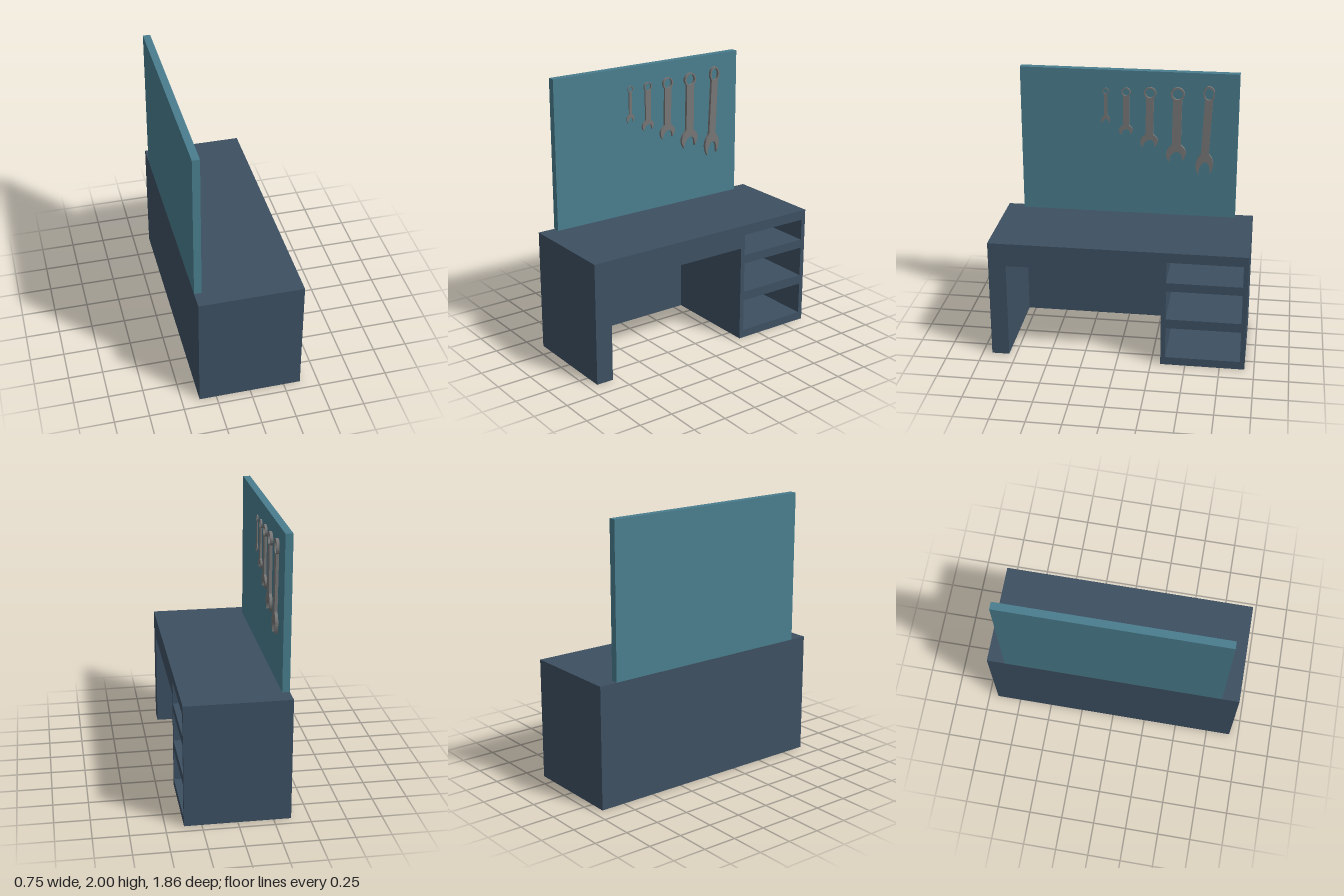
import * as THREE from 'three';

const material = (color) => new THREE.MeshStandardMaterial({ color, flatShading: true });
const deskMat = material(0x3d5062);
const boardMat = material(0x4a7e8f);
const steelMat = material(0x777777);

// Profiles are drawn facing +x: u runs towards -z, v is up.
function extrudeAlongX(name, shape, x, depth, mat) {
  const geo = new THREE.ExtrudeGeometry(shape, { depth, bevelEnabled: false, curveSegments: 10 });
  geo.rotateY(Math.PI / 2);
  geo.translate(x, 0, 0);
  const mesh = new THREE.Mesh(geo, mat);
  mesh.name = name;
  return mesh;
}

function rectHole(u0, u1, v0, v1) {
  return new THREE.Path([[u0, v0], [u0, v1], [u1, v1], [u1, v0]].map((p) => new THREE.Vector2(...p)));
}

function box(name, x0, x1, y0, y1, z0, z1, mat) {
  const mesh = new THREE.Mesh(new THREE.BoxGeometry(x1 - x0, y1 - y0, z1 - z0), mat);
  mesh.position.set((x0 + x1) / 2, (y0 + y1) / 2, (z0 + z1) / 2);
  mesh.name = name;
  return mesh;
}

// Combination wrench: ring end above, shaft, open jaw below.
function wrenchShape({ u, v, rx, ry, shaft, jawU, jawTop, bottom, w }) {
  const h = jawTop - bottom;
  const P = (a, b) => [jawU + a * w, jawTop + b * h];
  const a = Math.asin(shaft / rx);
  const s = new THREE.Shape();
  s.absellipse(u, v, rx, ry, -Math.PI / 2 + a, 1.5 * Math.PI - a, false, 0);
  s.lineTo(jawU - shaft, jawTop);
  s.quadraticCurveTo(...P(-0.55, -0.1), ...P(-0.8, -0.22));
  s.quadraticCurveTo(...P(-1.3, -0.58), ...P(-0.72, -1));
  s.quadraticCurveTo(...P(-0.72, -0.72), ...P(-0.42, -0.55));
  s.quadraticCurveTo(...P(0, -0.28), ...P(0.42, -0.48));
  s.quadraticCurveTo(...P(0.65, -0.65), ...P(0.62, -0.92));
  s.quadraticCurveTo(...P(1.25, -0.5), ...P(0.78, -0.18));
  s.quadraticCurveTo(...P(0.55, -0.08), jawU + shaft, jawTop);
  s.closePath();
  const hole = new THREE.Path();
  hole.absellipse(u, v, rx * 0.74, ry * 0.78, 0, Math.PI * 2, true, 0);
  s.holes.push(hole);
  return s;
}

export function createModel() {
  const model = new THREE.Group();
  model.name = 'workbench';

  // Bench body: one profile with a knee space and three open shelves
  const body = new THREE.Shape([
    [-0.931, 0], [-0.803, 0], [-0.803, 0.72], [0.32, 0.72], [0.32, 0],
    [0.931, 0], [0.931, 0.893], [-0.931, 0.893],
  ].map((p) => new THREE.Vector2(...p)));
  for (const [v0, v1] of [[0.06, 0.3], [0.37, 0.595], [0.66, 0.82]]) {
    body.holes.push(rectHole(0.354, 0.897, v0, v1));
  }
  const desk = new THREE.Group();
  desk.name = 'bench';
  desk.add(extrudeAlongX('benchBody', body, -0.369, 0.741, deskMat));
  desk.add(box('backPanel', -0.373, -0.369, 0, 0.893, -0.931, 0.931, deskMat));
  model.add(desk);

  // Upright tool board
  model.add(box('toolBoard', -0.373, -0.32, 0.893, 2, -0.797, 0.803, boardMat));

  // Wrenches, from small to large
  const wrenches = new THREE.Group();
  wrenches.name = 'wrenches';
  const sizes = [
    // ring u, v, rx, ry, shaft half-width, jaw u, jaw top, bottom, jaw half-width, thickness
    [-0.171, 1.841, 0.024, 0.024, 0.012, -0.173, 1.655, 1.591, 0.032, 0.008],
    [-0.022, 1.839, 0.034, 0.034, 0.023, -0.022, 1.59, 1.51, 0.05, 0.013],
    [0.153, 1.84, 0.045, 0.044, 0.028, 0.15, 1.528, 1.42, 0.064, 0.017],
    [0.354, 1.84, 0.051, 0.051, 0.033, 0.35, 1.457, 1.318, 0.072, 0.021],
    [0.58, 1.85, 0.042, 0.058, 0.029, 0.561, 1.397, 1.226, 0.064, 0.021],
  ];
  for (const [u, v, rx, ry, shaft, jawU, jawTop, bottom, w, depth] of sizes) {
    const shape = wrenchShape({ u, v, rx, ry, shaft, jawU, jawTop, bottom, w });
    wrenches.add(extrudeAlongX('wrench', shape, -0.32, depth, steelMat));
  }
  model.add(wrenches);

  return model;
}
